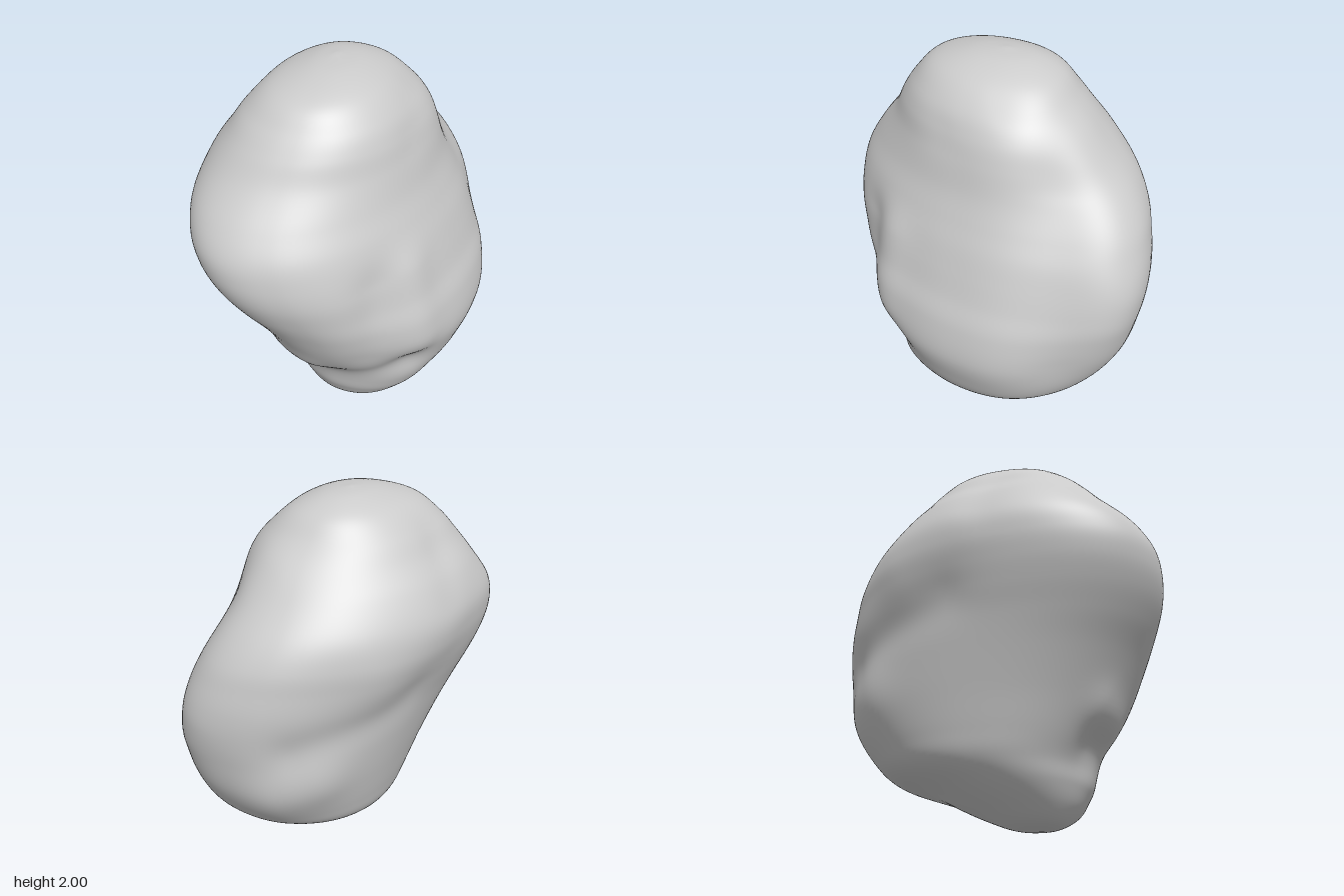
import * as THREE from 'three';
import { mergeVertices } from 'three/addons/utils/BufferGeometryUtils.js';

// Cross-sections from bottom to top: y, xMin, xMax, zMin, zMax, skew
const SECTIONS = [
  [0, 0.02, 0.02, 0.2, 0.2, 0],
  [0.025, -0.1, 0.15, 0.04, 0.31, 0],
  [0.1, -0.2, 0.34, -0.13, 0.39, 0],
  [0.2, -0.3, 0.47, -0.34, 0.43, 0.02],
  [0.3, -0.37, 0.57, -0.59, 0.46, 0.05],
  [0.42, -0.41, 0.63, -0.72, 0.54, 0.08],
  [0.6, -0.46, 0.68, -0.82, 0.66, 0.1],
  [0.8, -0.52, 0.66, -0.87, 0.76, 0.16],
  [0.95, -0.57, 0.61, -0.89, 0.835, 0.22],
  [1.08, -0.62, 0.57, -0.885, 0.885, 0.25],
  [1.2, -0.66, 0.53, -0.86, 0.9, 0.27],
  [1.32, -0.685, 0.48, -0.82, 0.88, 0.27],
  [1.45, -0.685, 0.43, -0.74, 0.8, 0.26],
  [1.6, -0.63, 0.39, -0.61, 0.67, 0.23],
  [1.72, -0.55, 0.35, -0.5, 0.59, 0.2],
  [1.82, -0.48, 0.29, -0.4, 0.51, 0.16],
  [1.92, -0.37, 0.18, -0.3, 0.4, 0.1],
  [1.98, -0.22, 0.04, -0.16, 0.2, 0],
  [2.0, -0.1, -0.1, 0, 0, 0],
];

// Ridges (+) and dents (-): start, end, radius, height
const STROKES = [
  [[-0.1, 0.37, 0.5], [0.45, 0.48, 0.42], 0.1, -0.025],
  [[0.05, 0.27, 0.47], [0.45, 0.3, 0.35], 0.13, 0.025],
  [[-0.22, 0.52, 0.58], [-0.05, 0.48, 0.6], 0.11, 0.025],
  [[0.36, 1.1, 0.6], [0.3, 0.65, 0.58], 0.14, -0.03],
  [[0.45, 1.1, 0.4], [0.52, 0.7, 0.42], 0.13, 0.025],
  [[0.52, 0.5, 0.4], [0.45, 0.55, 0.45], 0.14, -0.02],
  [[0.2, 1.8, -0.1], [0.28, 1.7, 0.1], 0.14, -0.015],
  [[0.13, 1.6, -0.5], [0.05, 1.68, -0.45], 0.14, 0.015],
  [[-0.21, 0.88, -0.71], [-0.5, 1.08, -0.15], 0.12, -0.022],
  [[-0.25, 0.66, -0.6], [-0.1, 0.6, -0.7], 0.17, 0.03],
  [[-0.5, 1.74, 0.1], [-0.6, 1.5, 0.0], 0.12, -0.015],
  [[-0.62, 1.4, -0.1], [-0.55, 1.25, -0.4], 0.22, 0.03],
  [[0.52, 0.65, -0.6], [0.3, 1.5, -0.48], 0.24, -0.065],
  [[0.27, 1.0, -0.74], [0.3, 0.88, -0.72], 0.14, 0.025],
  [[0.0, 0.25, -0.42], [0.2, 0.23, -0.4], 0.12, -0.012],
].map(([a, b, radius, height]) => ({
  line: new THREE.Line3(new THREE.Vector3(...a), new THREE.Vector3(...b)), radius, height,
}));

// Smooth curve through three columns of the section table
const column = (a, b, c) => new THREE.CatmullRomCurve3(
  SECTIONS.map((s) => new THREE.Vector3(s[a], s[b], s[c])), false, 'catmullrom', 0.5);

const soften = (v) => Math.sign(v) * Math.abs(v) ** 0.93;

// Skewed ovals lofted from bottom to top
function loft(rows, cols) {
  const widths = column(1, 2, 0), depths = column(3, 4, 5);
  const positions = [], index = [];
  for (let j = 0; j <= rows; j++) {
    const w = widths.getPoint(j / rows), d = depths.getPoint(j / rows);
    for (let i = 0; i < cols; i++) {
      const t = (i / cols) * Math.PI * 2;
      positions.push(
        (w.x + w.y) / 2 + ((w.y - w.x) / 2) * soften(Math.cos(t + d.z)),
        w.z,
        (d.x + d.y) / 2 + ((d.y - d.x) / 2) * soften(Math.sin(t)));
      if (j === rows) continue;
      const a = j * cols + i, b = j * cols + (i + 1) % cols;
      index.push(a, a + cols, b, b, a + cols, b + cols);
    }
  }
  const geometry = new THREE.BufferGeometry();
  geometry.setAttribute('position', new THREE.Float32BufferAttribute(positions, 3));
  geometry.setIndex(index);
  return mergeVertices(geometry, 1e-5);
}

// Push the surface along its normals near each stroke
function sculpt(geometry) {
  geometry.computeVertexNormals();
  const pos = geometry.attributes.position, nor = geometry.attributes.normal;
  const p = new THREE.Vector3(), n = new THREE.Vector3(), q = new THREE.Vector3();
  for (let i = 0; i < pos.count; i++) {
    p.fromBufferAttribute(pos, i);
    n.fromBufferAttribute(nor, i);
    let push = 0;
    for (const { line, radius, height } of STROKES) {
      line.closestPointToPoint(p, true, q);
      push += height * Math.exp(-q.distanceToSquared(p) / (radius * radius));
    }
    p.addScaledVector(n, push);
    pos.setXYZ(i, p.x, p.y, p.z);
  }
  geometry.computeVertexNormals();
  return geometry;
}

export function createModel() {
  const group = new THREE.Group();
  group.name = 'boulder';
  const stone = new THREE.Mesh(
    sculpt(loft(126, 128)),
    new THREE.MeshStandardMaterial({ color: 0xcccccc }));
  stone.name = 'stone';
  group.add(stone);
  return group;
}
